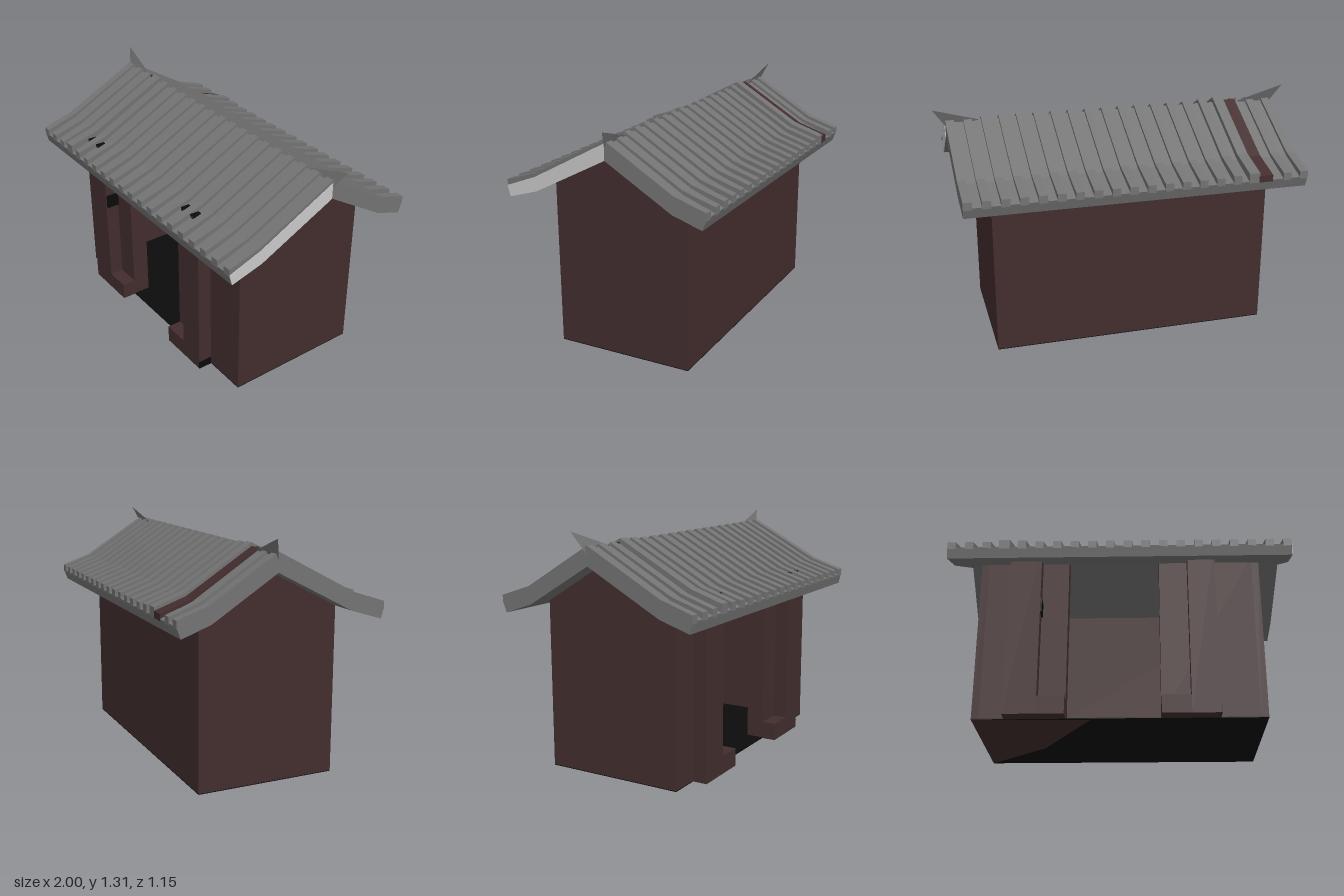
import * as THREE from 'three';

const mat = (name, color, side = THREE.FrontSide) => {
  const m = new THREE.MeshStandardMaterial({ color, side });
  m.name = name;
  return m;
};

export function createModel() {
  const brown = mat('dark brown wood', 0x432d2e);
  const gray = mat('roof gray', 0x737373);
  const pale = mat('pale gray', 0xc9c9c9);
  const black = mat('black', 0x0b0b0b);
  const horn = mat('ridge gray', 0x737373, THREE.DoubleSide);
  const model = new THREE.Group();

  const add = (parent, name, geo, material) => {
    const m = new THREE.Mesh(geo, material);
    m.name = name;
    parent.add(m);
    return m;
  };
  // box given by its limits on each axis
  const box = (parent, name, material, x0, x1, y0, y1, z0, z1) => {
    const m = add(parent, name, new THREE.BoxGeometry(x1 - x0, y1 - y0, z1 - z0), material);
    m.position.set((x0 + x1) / 2, (y0 + y1) / 2, (z0 + z1) / 2);
  };
  // [z, y] profile extruded from x0 to x1
  const extrudeX = (points, x0, x1) => {
    const shape = new THREE.Shape(points.map(([z, y]) => new THREE.Vector2(-z, y)));
    const geo = new THREE.ExtrudeGeometry(shape, { depth: x1 - x0, bevelEnabled: false });
    return geo.rotateY(Math.PI / 2).translate(x0, 0, 0);
  };
  // roof pieces lean slightly towards +x at the ridge
  const lean = (geo) => {
    const p = geo.attributes.position;
    for (let i = 0; i < p.count; i++) {
      p.setX(i, p.getX(i) + 0.018 * (1 - Math.abs(p.getZ(i) + 0.03) / 0.58));
    }
    geo.computeVertexNormals();
    return geo;
  };

  // House body: gable walls, back wall, front walls beside the doorway
  const body = new THREE.Group();
  body.name = 'body';
  model.add(body);
  const gable = [[0.39, 0.004], [0.39, 0.94], [-0.03, 1.16], [-0.39, 0.94], [-0.39, 0.004]];
  add(body, 'rightGableWall', extrudeX(gable, -0.79, -0.75), brown);
  add(body, 'leftGableWall', extrudeX(gable, 0.715, 0.755), brown);
  box(body, 'backWall', brown, -0.75, 0.715, 0.004, 0.94, -0.39, -0.35);
  box(body, 'frontWallRight', brown, -0.75, -0.3, 0.004, 0.95, 0.29, 0.39);
  box(body, 'frontWallLeft', brown, 0.2, 0.715, 0.004, 0.95, 0.29, 0.39);
  box(body, 'floor', black, -0.79, 0.755, 0, 0.004, -0.39, 0.39);

  // Brown patch on the underside
  const patch = new THREE.Shape([[-0.79, -0.39], [-0.45, -0.1], [-0.17, 0.37], [-0.79, 0.39]]
    .map(([x, z]) => new THREE.Vector2(x, z)));
  add(body, 'undersidePatch', new THREE.ShapeGeometry(patch).rotateX(Math.PI / 2), brown)
    .position.y = -0.001;

  // Pillars with low steps beside the doorway
  for (const [side, p0, p1, s0, s1] of [
    ['right', -0.62, -0.445, -0.445, -0.3], ['left', 0.355, 0.505, 0.2, 0.355]]) {
    box(body, side + 'Pillar', brown, p0, p1, 0, 0.978, 0.39, 0.47);
    box(body, side + 'PillarCap', black, p0, p1, 0.978, 0.982, 0.39, 0.47);
    box(body, side + 'Step', brown, s0, s1, 0, 0.1, 0.39, 0.47);
  }
  box(body, 'pillarFoot', black, 0.505, 0.508, 0, 0.045, 0.39, 0.47);
  box(body, 'pillarLatch', black, -0.445, -0.437, 0.585, 0.665, 0.39, 0.465);

  // Roof slab with a bend above the walls
  const roof = new THREE.Group();
  roof.name = 'roof';
  model.add(roof);
  const top = [[0.58, 0.92], [0.4, 0.99], [-0.03, 1.222], [-0.4, 0.99], [-0.572, 0.92]];
  const under = [[-0.55, 0.86], [-0.39, 0.915], [-0.03, 1.135], [0.39, 0.915], [0.565, 0.86]];
  add(roof, 'roofSlab', lean(extrudeX([...top, ...under], -0.95, 0.915)), gray);
  const frontHalf = [...top.slice(0, 3), ...under.slice(2)];
  add(roof, 'paleEndBoard', lean(extrudeX(frontHalf, 0.915, 0.919)), pale);

  // Tile ribs following the slab, on the front or the back slope
  const crest = [[0.58, 0.952], [0.4, 1.01], [-0.03, 1.238], [-0.4, 1.01], [-0.572, 0.952]];
  const rib = (name, x, width, lift, material, from, to) => {
    const upper = crest.slice(from, to).map(([z, y]) => [z, y + lift]);
    const lower = top.slice(from, to).reverse().map(([z, y]) => [z, y - 0.01]);
    add(roof, name, lean(extrudeX([...upper, ...lower], x - width / 2, x + width / 2)), material);
  };
  for (let k = 0; k < 20; k++) {
    const x = -0.927 + k * 0.0958;
    const raised = k === 3 ? 0.012 : k === 4 ? 0.006 : 0;
    const width = k === 3 ? 0.06 : 0.046;
    rib('frontTileRib', x, width, raised, gray, 0, 3);
    if (k === 2) rib('brownBackRib', x + 0.03, 0.08, -0.006, brown, 2, 5);
    else rib('backTileRib', x, width, raised, gray, 2, 5);
  }

  // Upturned horns at both ends of the ridge
  for (const [name, pts] of [
    ['rightHorn', [-1, 1.31, -0.075, -0.73, 1.222, -0.045, -0.93, 1.19, -0.03]],
    ['leftHorn', [1, 1.295, -0.065, 0.75, 1.222, -0.045, 0.93, 1.19, -0.03]]]) {
    const geo = new THREE.BufferGeometry();
    geo.setAttribute('position', new THREE.Float32BufferAttribute(pts, 3));
    // wind both triangles to face the front
    geo.setIndex(name === 'rightHorn' ? [0, 2, 1] : [0, 1, 2]);
    geo.computeVertexNormals();
    add(roof, name, geo, horn);
  }
  return model;
}
